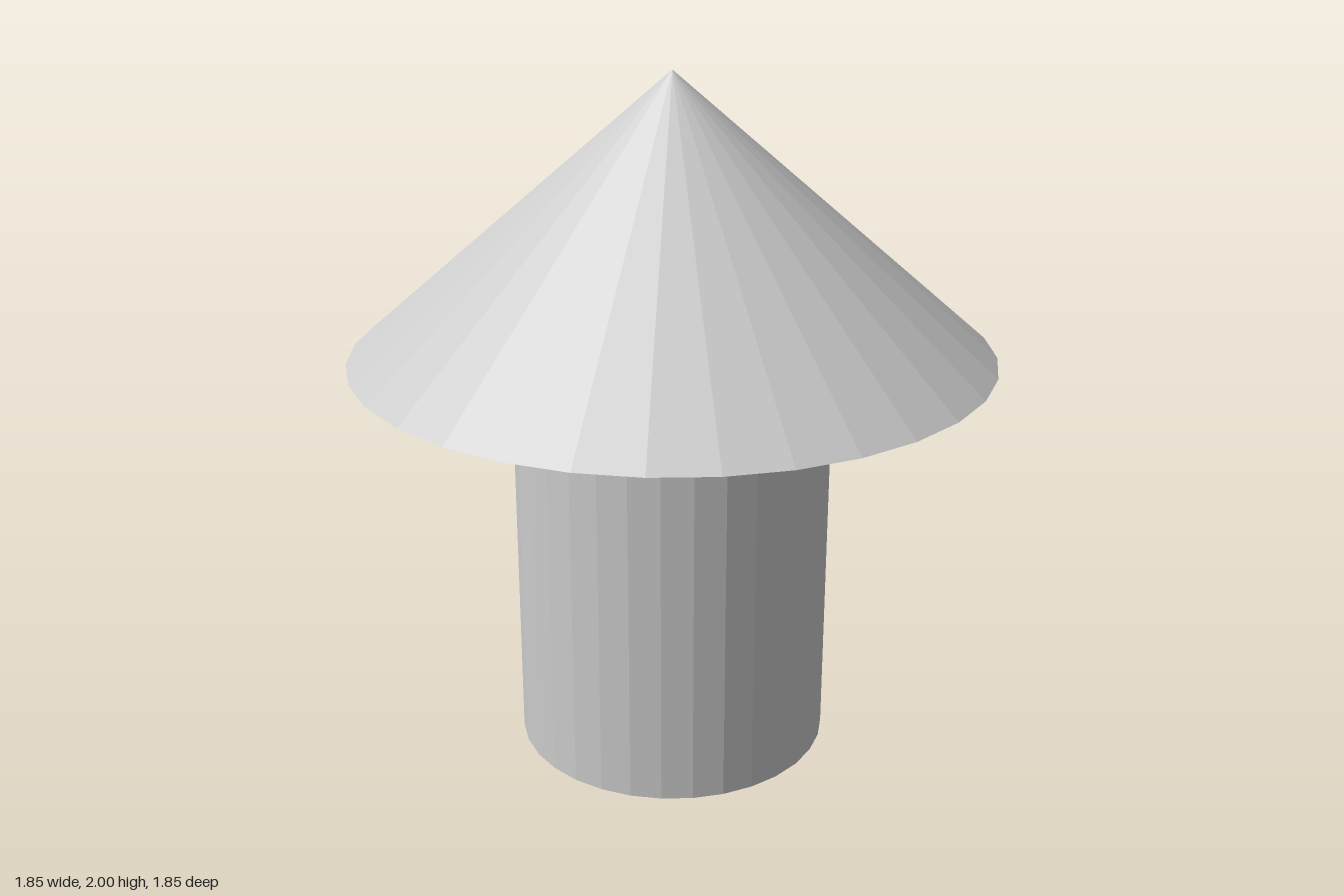
import * as THREE from 'three';

const SIDES = 32;
const WALL_RADIUS = 0.4615;
const ROOF_RADIUS = 0.923;
const WALL_HEIGHT = 1.2;
const ROOF_HEIGHT = 0.8;

export function createModel() {
  const group = new THREE.Group();
  group.name = 'roundHut';
  const material = new THREE.MeshStandardMaterial({ color: 0xcccccc, flatShading: true });

  const addPart = (name, geometry, y) => {
    const mesh = new THREE.Mesh(geometry, material);
    mesh.name = name;
    mesh.position.y = y;
    group.add(mesh);
  };

  // Faceted round wall, closed at the base
  addPart('wall', new THREE.CylinderGeometry(WALL_RADIUS, WALL_RADIUS, WALL_HEIGHT, SIDES), WALL_HEIGHT / 2);

  // Conical roof with a flat underside overhanging the wall
  addPart('roof', new THREE.ConeGeometry(ROOF_RADIUS, ROOF_HEIGHT, SIDES), WALL_HEIGHT + ROOF_HEIGHT / 2);

  return group;
}
